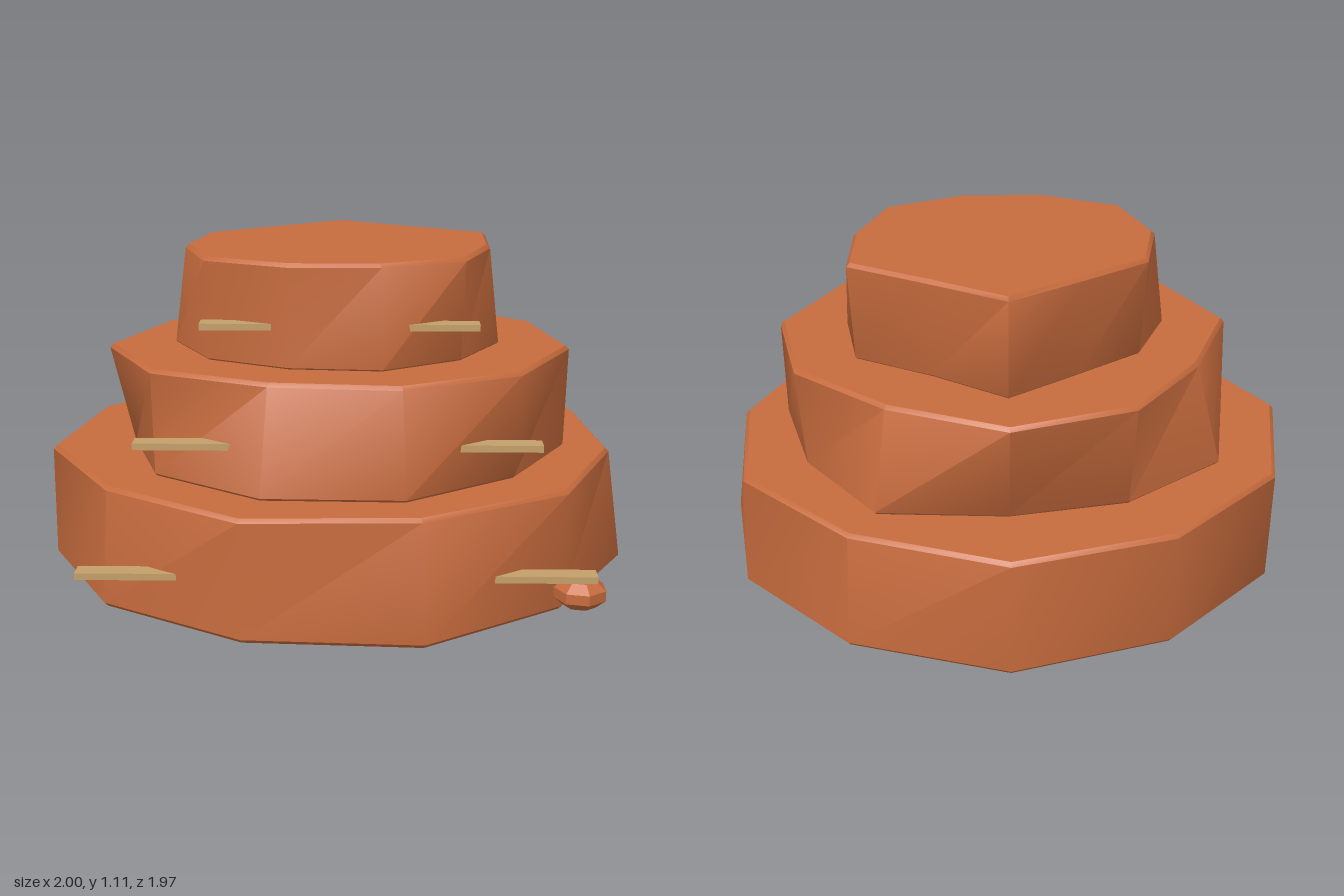
import * as THREE from 'three';
import { toCreasedNormals } from 'three/addons/utils/BufferGeometryUtils.js';

const SIDES = 11;
const BEVEL = 0.013;

// Uneven eleven-sided block with its own bottom and top radii and softened rims
function tierGeometry(y0, y1, bottom, top) {
  const rings = [
    [y0, bottom, -BEVEL], [y0 + BEVEL, bottom, 0],
    [y1 - BEVEL, top, 0], [y1, top, -BEVEL],
  ];
  const pos = [], index = [];
  for (const [y, radii, inset] of rings) {
    for (let i = 0; i < SIDES; i++) {
      const a = (i / SIDES) * Math.PI * 2, r = radii[i] + inset;
      pos.push(Math.sin(a) * r, y, -Math.cos(a) * r);
    }
  }
  const low = pos.length / 3, high = low + 1;
  pos.push(0, y0, 0, 0, y1, 0);
  for (let i = 0; i < SIDES; i++) {
    const j = (i + 1) % SIDES;
    for (let k = 0; k < rings.length - 1; k++) {
      const a = k * SIDES + i, b = k * SIDES + j;
      index.push(b, a, a + SIDES, b, a + SIDES, b + SIDES);
    }
    const last = (rings.length - 1) * SIDES;
    index.push(low, i, j, high, last + j, last + i);
  }
  const g = new THREE.BufferGeometry();
  g.setAttribute('position', new THREE.Float32BufferAttribute(pos, 3));
  g.setIndex(index);
  return toCreasedNormals(g, 0.72);
}

export function createModel() {
  const group = new THREE.Group();
  const clay = new THREE.MeshStandardMaterial({ color: 0xc66b3d });
  clay.name = 'terracotta';
  const tan = new THREE.MeshStandardMaterial({ color: 0xc4a06a });
  tan.name = 'tan';

  const add = (name, geometry, material, x = 0, y = 0, z = 0) => {
    const mesh = new THREE.Mesh(geometry, material);
    mesh.name = name;
    mesh.position.set(x, y, z);
    group.add(mesh);
    return mesh;
  };

  // Stacked rock tiers; radii run clockwise from the back, seen from above
  add('bottomTier', tierGeometry(0.005, 0.41,
    [0.99, 0.97, 0.99, 1.01, 0.98, 1.02, 0.99, 0.99, 1.01, 0.99, 0.97],
    [0.99, 0.95, 0.98, 0.96, 0.99, 0.98, 1.0, 0.97, 1.01, 1.0, 0.98]), clay);
  add('middleTier', tierGeometry(0.405, 0.77,
    [0.7, 0.8, 0.75, 0.8, 0.78, 0.82, 0.81, 0.78, 0.72, 0.8, 0.73],
    [0.79, 0.73, 0.78, 0.81, 0.8, 0.77, 0.73, 0.79, 0.8, 0.71, 0.76]), clay);
  add('topTier', tierGeometry(0.762, 1.115,
    [0.57, 0.46, 0.56, 0.565, 0.55, 0.555, 0.53, 0.56, 0.57, 0.5, 0.45],
    [0.57, 0.48, 0.58, 0.53, 0.565, 0.53, 0.53, 0.57, 0.53, 0.52, 0.46]), clay);

  // Thin ledges passing through each tier near the front
  const ledges = [
    ['bottomLedge', -0.81, 0.83, 0.172, 0.785],
    ['middleLedge', -0.64, 0.665, 0.552, 0.63],
    ['topLedge', -0.44, 0.47, 0.903, 0.445],
  ];
  for (const [name, x0, x1, y, z] of ledges) {
    add(name, new THREE.BoxGeometry(x1 - x0, 0.022, 0.068), tan, (x0 + x1) / 2, y, z);
  }

  // Small flattened boulder at the foot
  const boulder = new THREE.SphereGeometry(0.09, 7, 5).toNonIndexed();
  boulder.scale(1, 0.6, 1);
  boulder.computeVertexNormals();
  add('boulder', boulder, clay, 0.793, 0.085, 0.69);

  return group;
}
